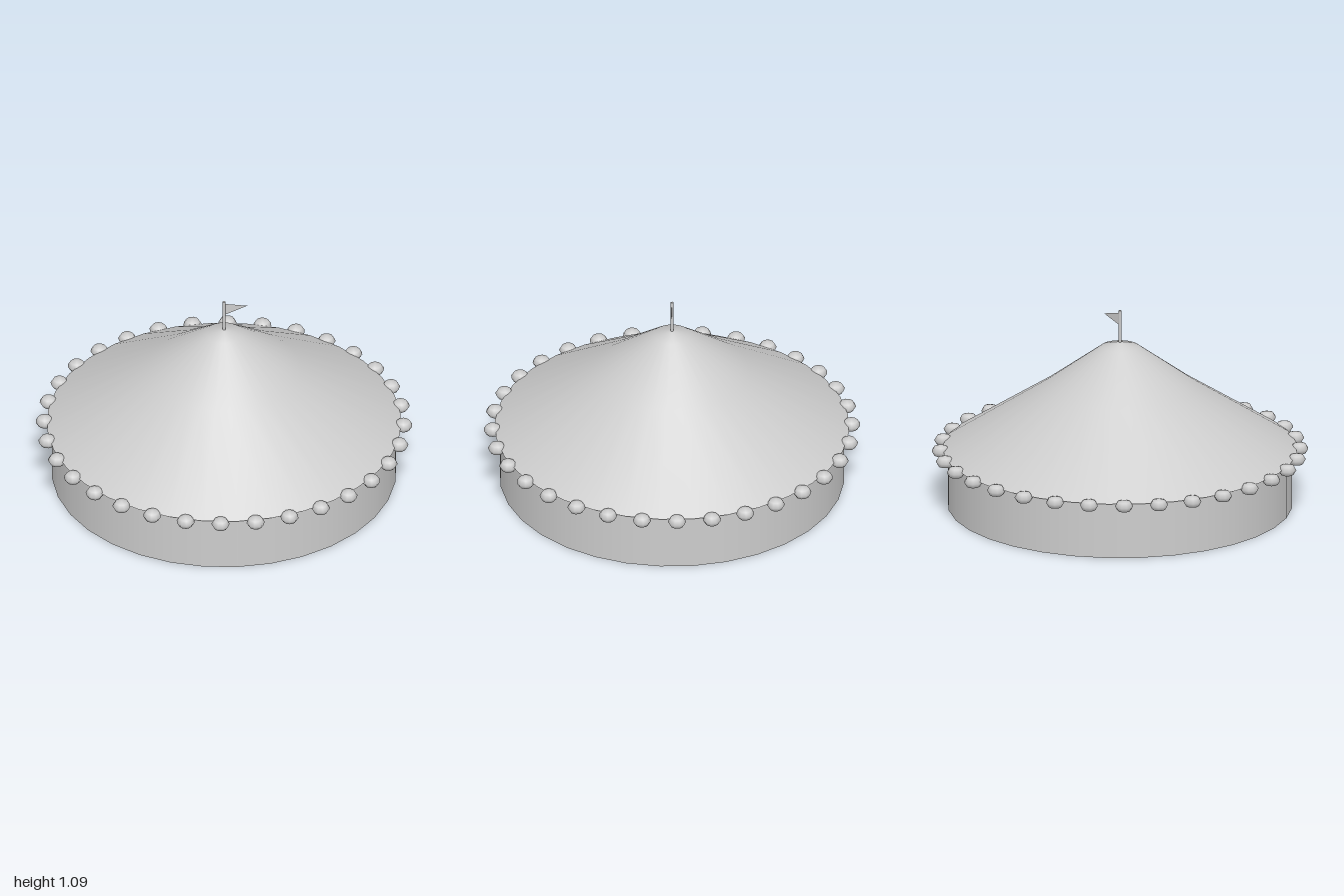
import * as THREE from 'three';

export function createModel() {
  const tent = new THREE.Group();
  tent.name = 'tent';
  const canvas = new THREE.MeshStandardMaterial({ color: 0xcccccc });
  canvas.name = 'canvasGrey';
  const flagCloth = new THREE.MeshStandardMaterial({ color: 0xcccccc, side: THREE.DoubleSide });
  flagCloth.name = 'flagGrey';

  const SIDES = 32;
  const add = (name, geometry, material = canvas, parent = tent) => {
    const mesh = new THREE.Mesh(geometry, material);
    mesh.name = name;
    parent.add(mesh);
    return mesh;
  };

  // Round wall with a closed floor
  add('wall', new THREE.CylinderGeometry(0.92, 0.92, 0.31, SIDES)).position.y = 0.155;

  // Sagging conical roof, profile from rim to peak
  const profile = [[0.945, 0.31], [0.41, 0.658], [0.1, 0.885], [0, 0.91]];
  add('roof', new THREE.LatheGeometry(profile.map(([r, y]) => new THREE.Vector2(r, y)), SIDES));

  // Flat underside of the overhanging rim
  const eave = new THREE.RingGeometry(0.9, 0.945, SIDES).rotateX(Math.PI / 2);
  add('eave', eave).position.y = 0.31;

  // Flattened beads around the rim
  const beads = new THREE.Group();
  beads.name = 'rimBeads';
  tent.add(beads);
  const beadGeometry = new THREE.SphereGeometry(0.049, 10, 4).scale(1, 0.7, 1);
  for (let i = 0; i < SIDES; i++) {
    const a = ((i + 0.5) / SIDES) * Math.PI * 2;
    const bead = add('bead', beadGeometry, canvas, beads);
    bead.position.set(Math.sin(a) * 0.956, 0.304, Math.cos(a) * 0.956);
    bead.rotation.y = a;
  }

  // Pole and pennant
  add('flagPole', new THREE.CylinderGeometry(0.008, 0.008, 0.19, 8)).position.y = 0.99;
  const pennant = new THREE.Shape([
    new THREE.Vector2(0, 1), new THREE.Vector2(0.13, 1.036), new THREE.Vector2(0, 1.072),
  ]);
  add('pennant', new THREE.ShapeGeometry(pennant), flagCloth);

  return tent;
}
